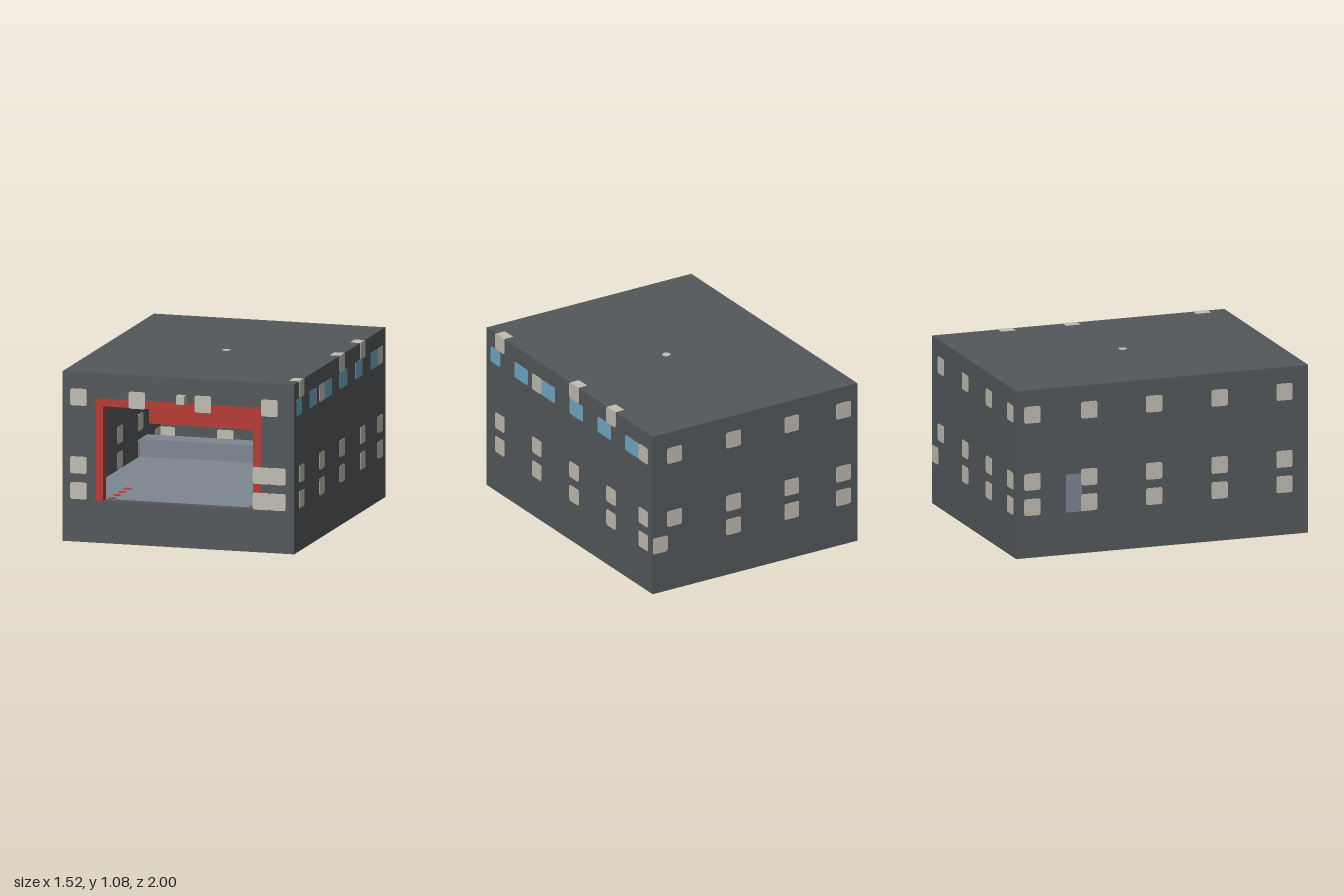
import * as THREE from 'three';

const mat = (name, color) => Object.assign(new THREE.MeshStandardMaterial({ color }), { name });

export function createModel() {
  const wall = mat('wallGrey', 0x54585b);
  const pale = mat('paleStone', 0xc0bcb2);
  const blue = mat('blueGlass', 0x72a8c6);
  const red = mat('red', 0xb63a34);
  const slate = mat('slateFloor', 0x7e8691);

  const X = 0.755, H = 1.08, F = 0.945, B = -0.998, T = 0.06;
  const model = new THREE.Group();
  model.name = 'garage';

  const add = (name, geo, material, x = 0, y = 0, z = 0, parent = model) => {
    const mesh = new THREE.Mesh(geo, material);
    mesh.name = name;
    mesh.position.set(x, y, z);
    parent.add(mesh);
    return mesh;
  };
  // Box given by its low and high corners
  const block = (name, m, x0, x1, y0, y1, z0, z1) =>
    add(name, new THREE.BoxGeometry(x1 - x0, y1 - y0, z1 - z0), m,
      (x0 + x1) / 2, (y0 + y1) / 2, (z0 + z1) / 2);
  const rect = (P, x0, x1, y0, y1) => {
    const p = new P();
    p.moveTo(x0, y0);
    p.lineTo(x1, y0);
    p.lineTo(x1, y1);
    p.lineTo(x0, y1);
    p.closePath();
    return p;
  };
  const extrude = (shape, depth) =>
    new THREE.ExtrudeGeometry(shape, { depth, bevelEnabled: false, curveSegments: 3 });

  // Shell: open underneath, with a doorway in the front
  const front = rect(THREE.Shape, -X, X, 0, H);
  front.holes.push(rect(THREE.Path, -0.54, 0.54, 0.27, 0.92));
  add('frontWall', extrude(front, T), wall, 0, 0, F - T);
  block('backWall', wall, -X, X, 0, H, B, B + T);
  for (const s of [-1, 1]) {
    const w = block(s < 0 ? 'rightWall' : 'leftWall', wall, -T / 2, T / 2, 0, H, B + T, F - T);
    w.position.x = s * (X - T / 2);
  }
  block('roof', wall, -X + T, X - T, H - T, H, B + T, F - T);
  block('floor', slate, -X + T, X - T, 0.2, 0.27, B + T, F - T);

  // Door frame lining the doorway
  const frame = new THREE.Shape();
  frame.moveTo(-0.54, 0.27);
  frame.lineTo(-0.54, 0.9);
  frame.quadraticCurveTo(-0.54, 0.92, -0.52, 0.92);
  frame.lineTo(0.52, 0.92);
  frame.quadraticCurveTo(0.54, 0.92, 0.54, 0.9);
  frame.lineTo(0.54, 0.27);
  frame.lineTo(0.487, 0.27);
  frame.lineTo(0.487, 0.87);
  frame.lineTo(-0.49, 0.87);
  frame.lineTo(-0.49, 0.27);
  add('doorFrame', extrude(frame, T + 0.002), red, 0, 0, F - T);

  // Rounded blocks set through the walls
  const padGeo = (w, h) => {
    const a = w / 2, b = h / 2, r = 0.014, s = new THREE.Shape();
    s.moveTo(-a + r, -b);
    s.lineTo(a - r, -b);
    s.quadraticCurveTo(a, -b, a, -b + r);
    s.lineTo(a, b - r);
    s.quadraticCurveTo(a, b, a - r, b);
    s.lineTo(-a + r, b);
    s.quadraticCurveTo(-a, b, -a, b - r);
    s.lineTo(-a, -b + r);
    s.quadraticCurveTo(-a, -b, -a + r, -b);
    return extrude(s, 0.066).translate(0, 0, -0.063);
  };
  const square = padGeo(0.108, 0.108);
  const pane = padGeo(0.157, 0.106);
  const shortPane = padGeo(0.11, 0.106);
  const face = (name, x, z, angle) => {
    const g = new THREE.Group();
    g.name = name;
    g.position.set(x, 0, z);
    g.rotation.y = angle;
    model.add(g);
    return g;
  };
  const low = 0.325, mid = 0.488, high = 0.92, top = 1.0285;
  const pads = (g, us, ys) => {
    for (const u of us) for (const y of ys) add('wallBlock', square, pale, u, y, 0, g);
  };

  const frontFace = face('frontBlocks', 0, F, 0);
  pads(frontFace, [-0.652], [low, mid, high]);
  pads(frontFace, [-0.27, 0.16, 0.595], [high]);
  pads(frontFace, [0.54, 0.647], [low, mid]);

  // Local x on the back face runs towards the model's right
  const backFace = face('backBlocks', 0, B, Math.PI);
  pads(backFace, [-0.16, 0.27, 0.652], [low, mid, high]);
  pads(backFace, [-0.595], [mid, high]);
  pads(backFace, [-0.7], [low]);

  const columns = [0.787, 0.355, -0.08, -0.512, -0.89];
  pads(face('rightBlocks', -X, 0, -Math.PI / 2), columns, [low, mid, high]);

  // Left side, where local x is -z, with a band of glass
  const leftFace = face('leftBlocks', X, 0, Math.PI / 2);
  pads(leftFace, columns.map(z => -z), [low, mid]);
  pads(leftFace, [-0.787, 0.08, 0.512], [top]);
  pads(leftFace, [-0.355, 0.89], [high]);
  for (const z of [0.54, 0.222, -0.105, -0.432, -0.757])
    add('bluePane', pane, blue, -z, high, -0.001, leftFace);
  add('bluePane', shortPane, blue, -0.84, high, -0.001, leftFace);

  // Two rows of floor markers
  const dot = new THREE.CylinderGeometry(0.027, 0.027, 0.074, 10);
  for (const x of [-0.46, 0.46])
    for (let i = 0; i < 4; i++) add('floorMarker', dot, red, x, 0.235, 0.855 - i * 0.107);

  // Roof stud and front lamp
  add('roofStud', new THREE.CylinderGeometry(0.027, 0.027, 0.066, 8), pale, 0.025, 1.05, 0);
  block('frontLamp', pale, 0, 0.052, 0.92, 0.973, F, 1);

  // Fittings at the back of the room
  block('bench', slate, -X + T, 0.32, 0.27, 0.38, -0.66, -0.5);
  block('shelf', red, -X + T, 0.27, 0.44, 0.6, -0.92, -0.7);
  block('sidePanel', slate, -X - 0.002, -X + T, 0.27, 0.515, -0.665, -0.56);

  return model;
}
